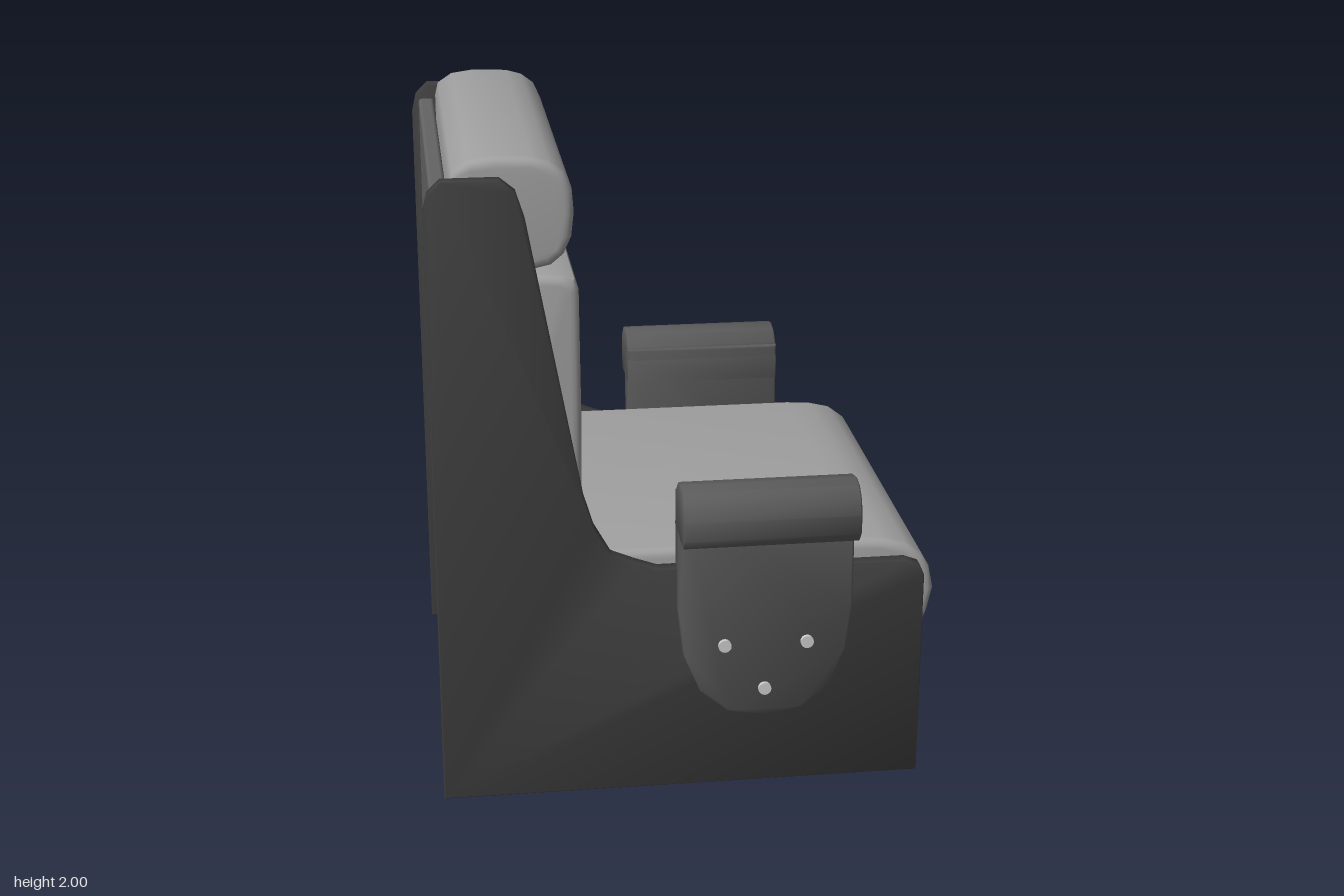
import * as THREE from 'three';
import { toCreasedNormals } from 'three/addons/utils/BufferGeometryUtils.js';
import { RoundedBoxGeometry } from 'three/addons/geometries/RoundedBoxGeometry.js';

const cushionMat = new THREE.MeshStandardMaterial({ color: 0xa0a0a0 });
const baseMat = new THREE.MeshStandardMaterial({ color: 0x646464 });
const armMat = new THREE.MeshStandardMaterial({ color: 0x5a5a5a });
const panelMat = new THREE.MeshStandardMaterial({ color: 0x3d3d3d });
const boltMat = new THREE.MeshStandardMaterial({ color: 0xe6e6e6 });

// Extrude an outline from z0 to z1 with bevelled ends that stay inside it
function slab(points, z0, z1, bevel, segments = 1) {
  const shape = new THREE.Shape(points.map(([x, y]) => new THREE.Vector2(x, y)));
  const geo = new THREE.ExtrudeGeometry(shape, {
    depth: z1 - z0 - 2 * bevel, bevelThickness: bevel,
    bevelSize: bevel, bevelOffset: -bevel, bevelSegments: segments,
  });
  geo.translate(0, 0, z0 + bevel);
  return toCreasedNormals(geo, 0.85);
}

// Mirror in z and restore the corner order
function mirrorZ(geo) {
  const g = geo.index ? geo.toNonIndexed() : geo;
  g.scale(1, 1, -1);
  for (const { array: a, itemSize: n, count } of Object.values(g.attributes))
    for (let i = 0; i < count; i += 3)
      for (let k = 0; k < n; k++) {
        const p = (i + 1) * n + k, q = (i + 2) * n + k;
        [a[p], a[q]] = [a[q], a[p]];
      }
  return g;
}

export function createModel() {
  const chair = new THREE.Group();
  chair.name = 'armchair';
  const add = (name, geo, mat, parent = chair) => {
    const mesh = new THREE.Mesh(geo, mat);
    mesh.name = name;
    parent.add(mesh);
    return mesh;
  };
  const box = (name, x0, x1, y0, y1) =>
    add(name, new RoundedBoxGeometry(x1 - x0, y1 - y0, 1.272, 2, 0.012), baseMat)
      .position.set((x0 + x1) / 2, (y0 + y1) / 2, 0);

  // Base box and upright back board
  box('base', -0.7, 0.685, 0.02, 0.43);
  box('backBoard', -0.74, -0.69, 0.02, 1.9);

  // Cushions, each a side profile run across the chair
  const cushions = {
    seatCushion: [
      [-0.4, 0.408], [0.68, 0.408], [0.717, 0.45], [0.745, 0.52], [0.762, 0.6], [0.748, 0.67],
      [0.722, 0.715], [0.67, 0.755], [0.6, 0.772], [0.52, 0.777], [-0.4, 0.777],
    ],
    backCushion: [
      [-0.69, 0.43], [-0.37, 0.43], [-0.322, 0.8], [-0.318, 1.2], [-0.321, 1.6],
      [-0.333, 1.632], [-0.37, 1.645], [-0.42, 1.648], [-0.69, 1.648],
    ],
    headrest: [
      [-0.685, 1.64], [-0.6, 1.64], [-0.46, 1.665], [-0.4, 1.678], [-0.362, 1.71], [-0.34, 1.76],
      [-0.332, 1.83], [-0.337, 1.9], [-0.36, 1.952], [-0.4, 1.982], [-0.45, 1.996],
      [-0.56, 2], [-0.63, 1.99], [-0.675, 1.96], [-0.685, 1.92],
    ],
  };
  for (const [name, points] of Object.entries(cushions))
    add(name, slab(points, -0.62, 0.634, 0.028, 4), cushionMat);

  // Side panel outline: low front, swept up to a tall back
  const panelPoints = [
    [-0.762, 0], [0.718, 0], [0.718, 0.67], [0.703, 0.705], [0.66, 0.722], [0.45, 0.722],
    [0.1, 0.735], [-0.1, 0.735], [-0.17, 0.76], [-0.24, 0.79], [-0.29, 0.88], [-0.32, 0.98],
    [-0.475, 1.83], [-0.5, 1.91], [-0.545, 1.947], [-0.71, 1.947], [-0.748, 1.91], [-0.762, 1.85],
  ];

  // Arm bracket with a rounded lower end
  const ax = 0.221, aw = 0.264;
  const lower = [[1, 0.61], [0.94, 0.465], [0.75, 0.345], [0.42, 0.273]];
  const armPlate = [
    [ax - aw, 0.98], ...lower.map(([u, y]) => [ax - u * aw, y]), [ax, 0.252],
    ...lower.slice().reverse().map(([u, y]) => [ax + u * aw, y]), [ax + aw, 0.98],
  ];
  // Arm pad cross-section (outward z, height), curling over the bracket
  const padPoints = [
    [0.633, 0.86], [0.735, 0.86], [0.75, 0.855], [0.81, 0.855], [0.832, 0.885], [0.836, 0.945],
    [0.82, 0.992], [0.785, 1.022], [0.74, 1.031], [0.69, 1.02], [0.652, 0.985], [0.633, 0.93],
  ];

  for (const side of [1, -1]) {
    const group = new THREE.Group();
    group.name = side > 0 ? 'rightSide' : 'leftSide';
    chair.add(group);
    const place = (geo) => (side > 0 ? geo : mirrorZ(geo));

    add('sidePanel', place(slab(panelPoints, 0.634, 0.68, 0.004)), panelMat, group);
    add('armBracket', place(slab(armPlate, 0.637, 0.736, 0.006)), armMat, group);

    const pad = slab(padPoints, -(ax + aw), aw - ax, 0.004);
    pad.rotateY(-Math.PI / 2); // cross-section x becomes z, depth runs along -x
    add('armPad', place(pad), armMat, group);

    // Bolts through the bracket
    for (const [x, y] of [[0.095, 0.5], [0.347, 0.5], [0.219, 0.35]]) {
      const bolt = new THREE.CylinderGeometry(0.02, 0.02, 0.03, 16);
      bolt.rotateX(Math.PI / 2);
      bolt.translate(x, y, 0.733);
      add('bolt', place(bolt), boltMat, group);
    }
  }
  return chair;
}
